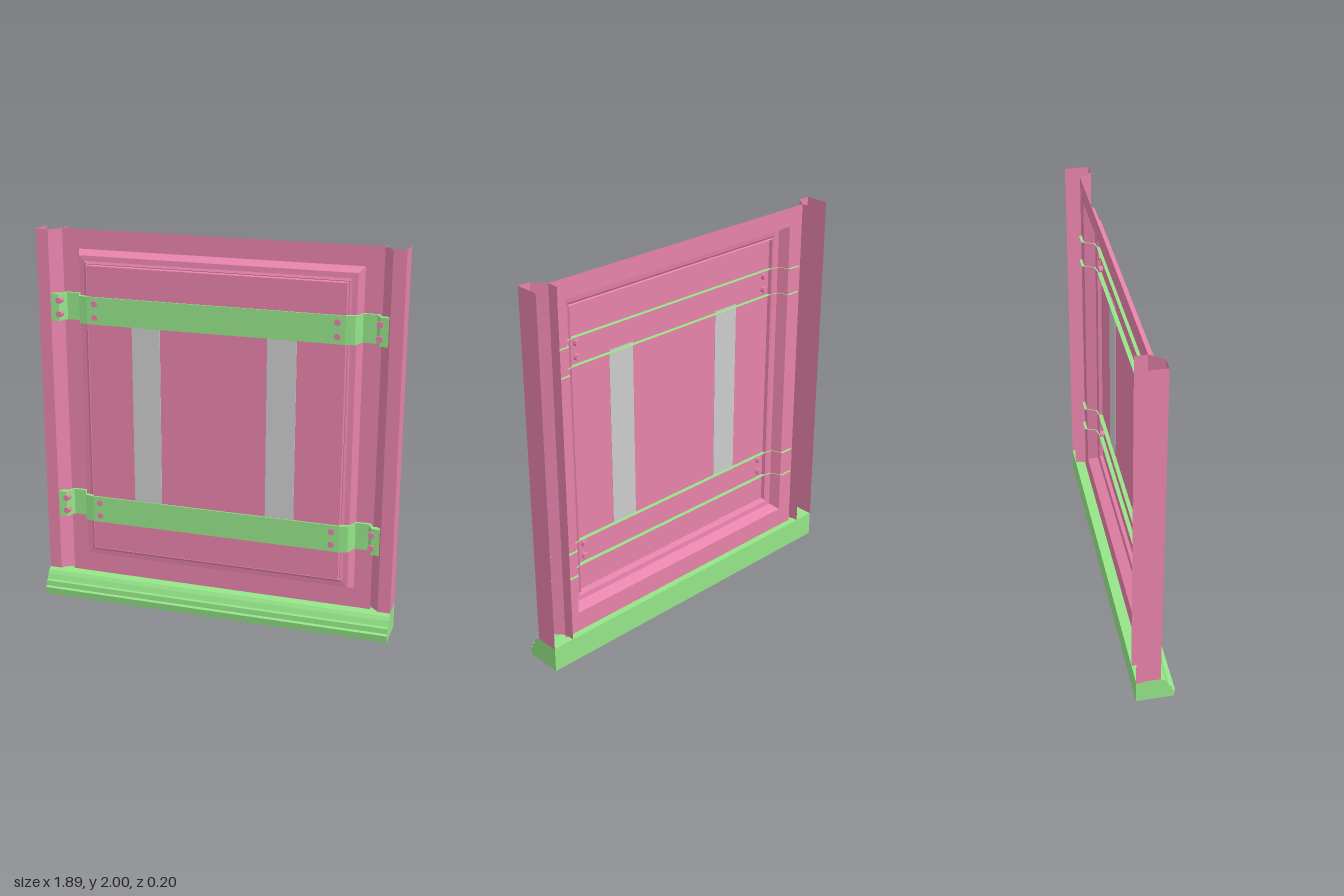
import * as THREE from 'three';

const mat = (color) => new THREE.MeshStandardMaterial({ color, flatShading: true, side: THREE.DoubleSide });
const pink = mat(0xe682aa);
const green = mat(0x94e488);
const grey = mat(0xcccccc);

function mesh(name, geometry, material, parent) {
  const m = new THREE.Mesh(geometry, material);
  m.name = name;
  parent.add(m);
  return m;
}

// Collects four-cornered faces into one flat-shaded surface.
function quads(list) {
  const pos = [];
  for (const [a, b, c, d] of list) pos.push(...a, ...b, ...c, ...a, ...c, ...d);
  const g = new THREE.BufferGeometry();
  g.setAttribute('position', new THREE.Float32BufferAttribute(pos, 3));
  g.computeVertexNormals();
  return g;
}

// Nested rectangles [halfWidth, bottom, top, z], joined ring to ring.
function steppedPanel(rings) {
  const loops = rings.map(([w, b, t, z]) => [[-w, b, z], [w, b, z], [w, t, z], [-w, t, z]]);
  const faces = [];
  for (let i = 0; i < loops.length - 1; i++) {
    for (let k = 0; k < 4; k++) {
      const n = (k + 1) % 4;
      faces.push([loops[i][k], loops[i][n], loops[i + 1][n], loops[i + 1][k]]);
    }
  }
  faces.push(loops[loops.length - 1]);
  return quads(faces);
}

// Upright sheet following [x, z] points.
function sheet(points, y0, y1) {
  return quads(points.slice(1).map(([x, z], i) => {
    const [px, pz] = points[i];
    return [[px, y0, pz], [x, y0, z], [x, y1, z], [px, y1, pz]];
  }));
}

// Bent strap: a front face with flanges above and below, open behind.
function strap(points, y0, y1, depth) {
  const faces = [];
  for (let i = 1; i < points.length; i++) {
    const [ax, az] = points[i - 1];
    const [bx, bz] = points[i];
    faces.push([[ax, y0, az], [bx, y0, bz], [bx, y1, bz], [ax, y1, az]]);
    faces.push([[ax, y1, az], [bx, y1, bz], [bx, y1, bz - depth], [ax, y1, az - depth]]);
    faces.push([[ax, y0, az - depth], [bx, y0, bz - depth], [bx, y0, bz], [ax, y0, az]]);
  }
  return quads(faces);
}

// Length of moulding along x from a [z, y] section.
function moulding(section, x0, x1) {
  const shape = new THREE.Shape(section.map(([z, y]) => new THREE.Vector2(-z, y)));
  const g = new THREE.ExtrudeGeometry(shape, { depth: x1 - x0, bevelEnabled: false });
  g.rotateY(Math.PI / 2);
  g.translate(x0, 0, 0);
  return g;
}

export function createModel() {
  const model = new THREE.Group();
  model.name = 'panelledShutter';

  // Hollow raised panel and the sheet around it
  const inset = (d, z) => [0.74 - d, 0.22 + d, 1.9 - d, z];
  mesh('panel', steppedPanel([
    [0.83, 0.1, 2, -0.04], inset(0, -0.04), inset(0.023, 0.015),
    inset(0.05, 0.018), inset(0.062, 0.025), inset(0.066, 0.018),
    inset(0.07, 0.037),
  ]), pink, model);

  // Side posts, open at the back
  for (const s of [-1, 1]) {
    const section = [[0.945, -0.1], [0.945, 0.025], [0.88, 0.025], [0.83, -0.04], [0.83, -0.1]];
    mesh(s > 0 ? 'leftPost' : 'rightPost',
      sheet(section.map(([x, z]) => [s * x, z]), 0.13, 2), pink, model);
  }

  // Sill moulding: solid ends and a middle with a channel for the panel
  const front = [[-0.1, 0], [0.094, 0], [0.1, 0.04], [0.085, 0.045], [0.083, 0.073],
    [0.07, 0.077], [0.058, 0.105], [0.045, 0.124], [0.028, 0.132]];
  const solid = [...front, [0.02, 0.135], [-0.1, 0.135]];
  const channel = [...front, [0.01, 0.135], [0.01, 0.105], [-0.065, 0.105], [-0.065, 0.135], [-0.1, 0.135]];
  const sill = new THREE.Group();
  sill.name = 'sill';
  model.add(sill);
  mesh('sillMiddle', moulding(channel, -0.885, 0.885), green, sill);
  mesh('sillRightEnd', moulding(solid, -0.945, -0.885), green, sill);
  mesh('sillLeftEnd', moulding(solid, 0.885, 0.945), green, sill);

  // Cross straps with their bolts
  const half = [[0.67, 0.045], [0.715, 0.036], [0.74, -0.025], [0.808, -0.025], [0.833, 0.027], [0.875, 0.03]];
  const path = [...half.map(([x, z]) => [-x, z]).reverse(), ...half];
  for (const y of [0.445, 1.53]) {
    const group = new THREE.Group();
    group.name = y < 1 ? 'lowerStrap' : 'upperStrap';
    model.add(group);
    mesh('strap', strap(path, y, y + 0.143, 0.03), green, group);
    for (const s of [-1, 1]) {
      for (const dy of [0.037, 0.108]) {
        for (const [x, z] of [[0.63, 0.032], [0.832, 0.02]]) {
          const bolt = mesh('bolt', new THREE.CylinderGeometry(0.017, 0.017, 0.034, 8), pink, group);
          bolt.rotation.x = Math.PI / 2;
          bolt.position.set(s * x, y + dy, z);
        }
      }
    }
  }

  // Flat uprights between the straps
  for (const s of [-1, 1]) {
    const bar = mesh('upright', new THREE.BoxGeometry(0.15, 0.96, 0.006), grey, model);
    bar.position.set(s * 0.355, 1.058, 0.038);
  }
  return model;
}
